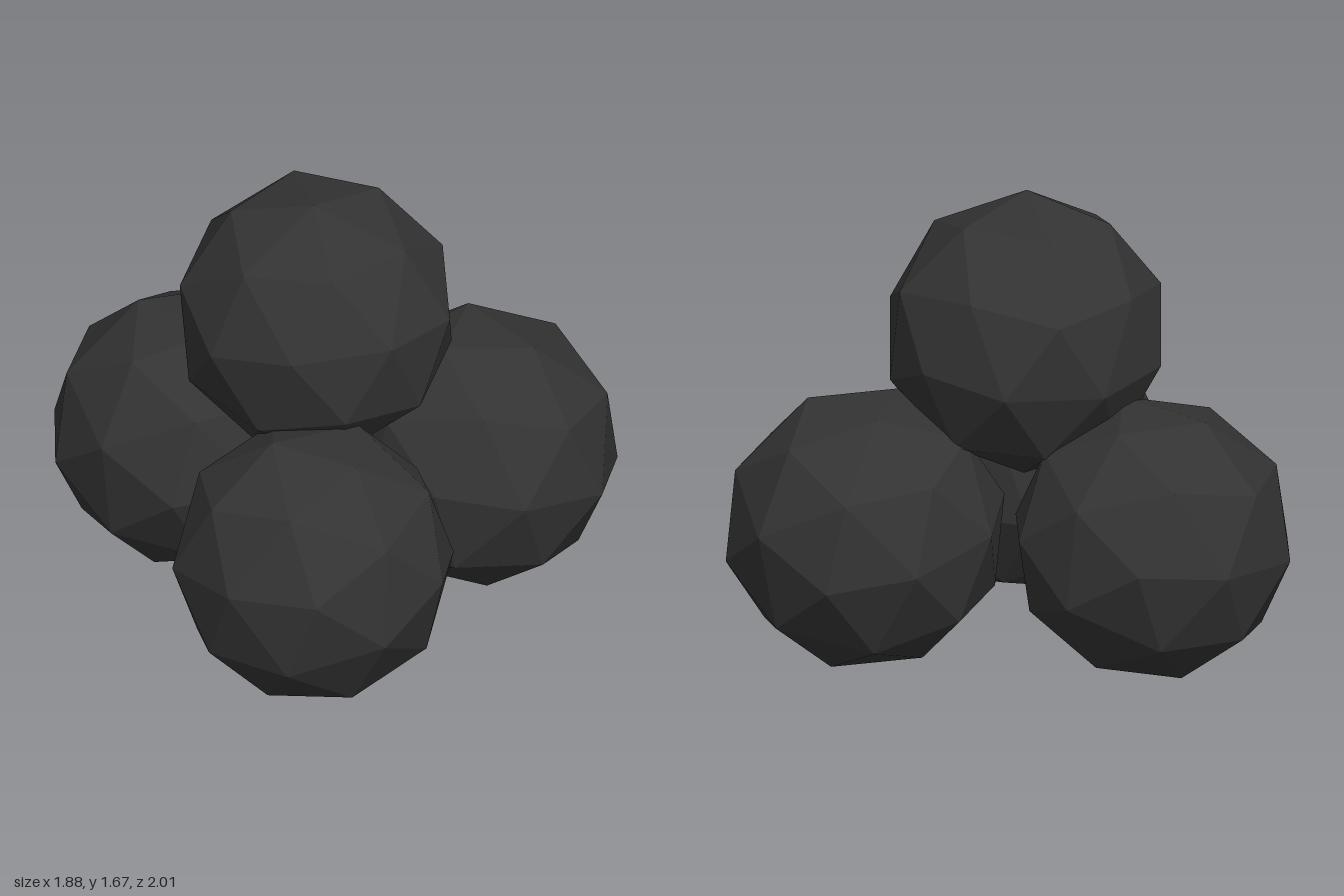
import * as THREE from 'three';
import { ConvexGeometry } from 'three/addons/geometries/ConvexGeometry.js';

const RADIUS = 0.512;
const PHI = (1 + Math.sqrt(5)) / 2;

// Corners of a 60-sided ball: 20 ridge corners and 12 fan centres on one sphere
function ballPoints() {
  const points = [];
  const signs = [-1, 1];
  const addCyclic = (a, b, c) => points.push(
    new THREE.Vector3(a, b, c), new THREE.Vector3(b, c, a), new THREE.Vector3(c, a, b));
  for (const s of signs) for (const t of signs) {
    addCyclic(0, s / PHI, t * PHI);
    addCyclic(0, s * PHI, t);
    for (const u of signs) points.push(new THREE.Vector3(s, t, u));
  }
  return points.map((p) => p.setLength(RADIUS));
}

// Right-handed frame from a main direction and a second one beside it
function frame(main, beside) {
  const x = main.clone().normalize();
  const z = x.clone().cross(beside).normalize();
  return new THREE.Matrix4().makeBasis(x, z.clone().cross(x), z);
}

export function createModel() {
  const group = new THREE.Group();
  const geometry = new ConvexGeometry(ballPoints());
  const material = new THREE.MeshStandardMaterial({ color: 0x333333, flatShading: true });
  const V = (a) => new THREE.Vector3(...a);
  const inverse = frame(V([1, 1, 1]), V([0, PHI, 1])).invert();

  // Three lumps on the ground and one resting on them, each turned differently
  const lumps = [
    ['topLump', [-0.14, 1.17, 0], [-0.05, 0.495, 0.07], [0.25, 0.43, 0]],
    ['frontLump', [-0.45, 0.5, 0.5], [0, -0.1, 0.5], [-0.27, 0.13, 0.4]],
    ['leftLump', [0.45, 0.5, 0.135], [-0.1, 0.02, 0.5], [0.16, 0.28, 0.4]],
    ['backLump', [-0.36, 0.5, -0.5], [-0.11, 0.46, -0.17], [-0.17, 0.3, -0.38]],
  ];
  for (const [name, centre, corner, beside] of lumps) {
    const lump = new THREE.Mesh(geometry, material);
    lump.name = name;
    lump.position.set(...centre);
    lump.quaternion.setFromRotationMatrix(frame(V(corner), V(beside)).multiply(inverse));
    group.add(lump);
  }
  return group;
}
